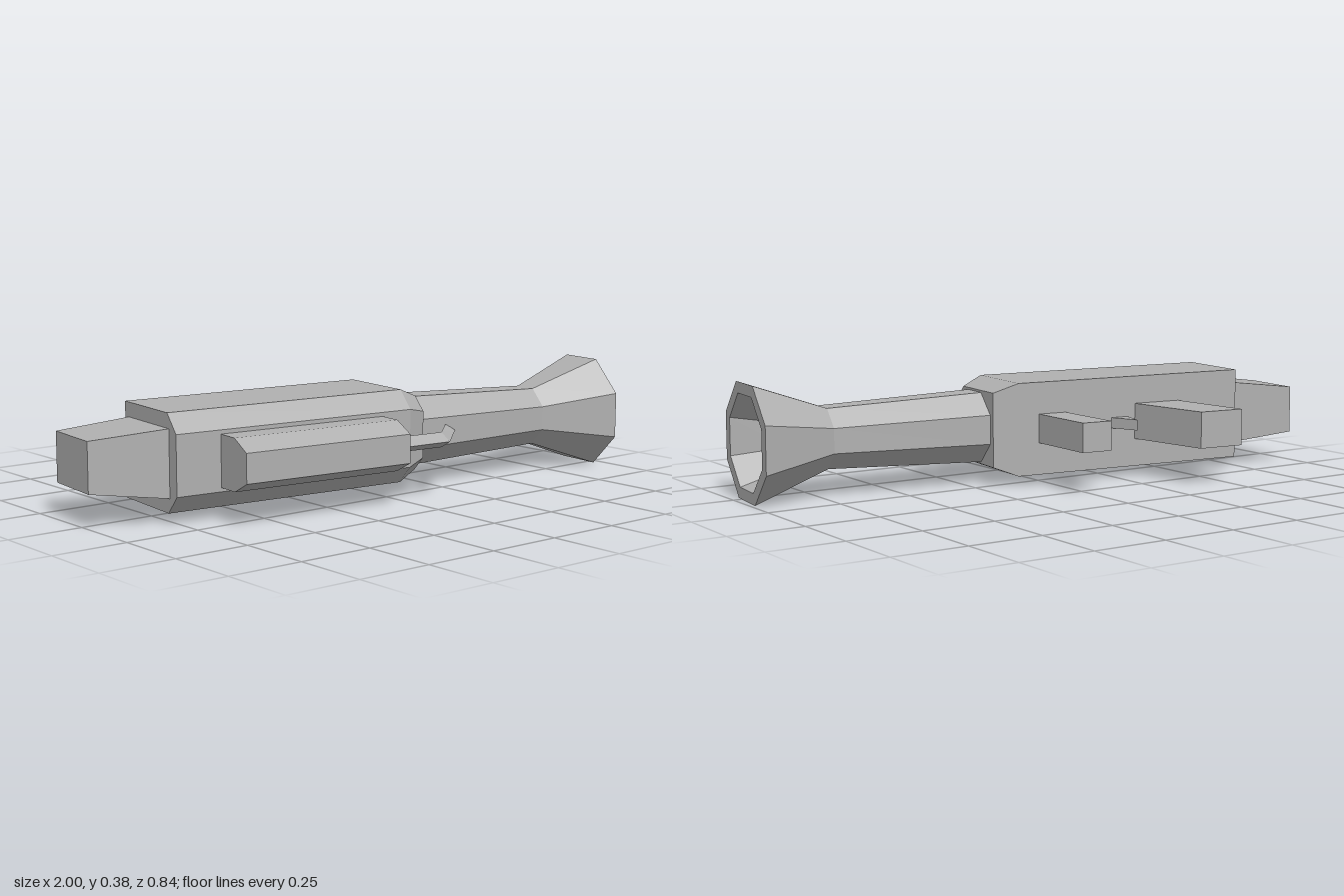
import * as THREE from 'three';

const CY = 0.188; // height of the long axis

export function createModel() {
  const model = new THREE.Group();
  const gun = new THREE.Group();
  gun.name = 'blaster';
  gun.rotation.y = -0.106; // the long axis is slightly turned
  model.add(gun);

  const grey = new THREE.MeshStandardMaterial({ color: 0xb0b0b0, flatShading: true });
  grey.name = 'plain grey';

  const add = (name, geometry) => {
    const mesh = new THREE.Mesh(geometry, grey);
    mesh.name = name;
    gun.add(mesh);
  };

  // Skin sections of [x, y, z] corners, counter-clockwise seen from +x, capped at both ends
  const loft = (sections) => {
    const pos = [];
    const tri = (a, b, c) => pos.push(...a, ...b, ...c);
    const n = sections[0].length;
    for (let s = 0; s < sections.length - 1; s++) {
      const p = sections[s], q = sections[s + 1];
      for (let i = 0; i < n; i++) {
        const j = (i + 1) % n;
        tri(p[i], p[j], q[j]);
        tri(p[i], q[j], q[i]);
      }
    }
    const first = sections[0], last = sections[sections.length - 1];
    for (let i = 1; i < n - 1; i++) {
      tri(first[0], first[i + 1], first[i]);
      tri(last[0], last[i], last[i + 1]);
    }
    const g = new THREE.BufferGeometry();
    g.setAttribute('position', new THREE.Float32BufferAttribute(pos, 3));
    g.computeVertexNormals();
    return g;
  };

  // Six-cornered section: flat at z0, bevelled from zr out to z1
  const bevelled = (x, z0, zr, z1, h, k) => [
    [x, CY - h, z0], [x, CY + h, z0], [x, CY + h, zr],
    [x, CY + k, z1], [x, CY - k, z1], [x, CY - h, zr],
  ];

  // Four-cornered section
  const rect = (x, z0, z1, h) => [
    [x, CY - h, z0], [x, CY + h, z0], [x, CY + h, z1], [x, CY - h, z1],
  ];

  // Octagon with flat sides up and down
  const octagon = (x, zc, apothem) => Array.from({ length: 8 }, (_, i) => {
    const t = (i + 0.5) * Math.PI / 4, r = apothem / Math.cos(Math.PI / 8);
    return [x, CY + r * Math.sin(t), zc - r * Math.cos(t)];
  });

  // Prism with an (x, z) outline, centred on the axis height
  const prism = (points, width) => {
    const shape = new THREE.Shape(points.map(([x, z]) => new THREE.Vector2(x, z)));
    const g = new THREE.ExtrudeGeometry(shape, { depth: width, bevelEnabled: false });
    g.rotateX(Math.PI / 2);
    g.translate(0, CY + width / 2, 0);
    return g;
  };

  // Main body with a tapered front
  add('body', loft([
    bevelled(-0.754, -0.07, 0.21, 0.265, 0.155, 0.096),
    bevelled(0.11, -0.07, 0.208, 0.264, 0.155, 0.096),
    bevelled(0.189, -0.04, 0.182, 0.228, 0.124, 0.078),
  ]));

  // Tapered rear block
  add('stock', loft([
    rect(-0.989, -0.076, 0.146, 0.081),
    rect(-0.75, -0.046, 0.221, 0.108),
  ]));

  // Barrel and hollow flared muzzle
  add('barrel', loft([
    octagon(0.185, 0.098, 0.117),
    octagon(0.734, 0.094, 0.098),
    octagon(0.992, 0.096, 0.188),
    octagon(0.992, 0.096, 0.151),
    octagon(0.82, 0.096, 0.093),
  ]));

  // Side pod and the bent rod in front of it
  add('sidePod', loft([-0.6, 0].map((x) => bevelled(x, 0.255, 0.346, 0.417, 0.083, 0.047))));
  const rod = (xi, zi, xo, zo, h) => [[xi, CY - h, zi], [xi, CY + h, zi], [xo, CY, zo]];
  add('sideRod', loft([
    rod(-0.01, 0.338, -0.01, 0.387, 0.025),
    rod(0.182, 0.338, 0.182, 0.384, 0.025),
    rod(0.299, 0.205, 0.331, 0.216, 0.022),
  ]));

  // Handles and trigger on the back side
  add('rearGrip', prism([[-0.512, -0.06], [-0.577, -0.362], [-0.416, -0.362], [-0.336, -0.06]], 0.122));
  add('frontGrip', prism([[-0.067, -0.06], [-0.095, -0.322], [0.011, -0.322], [0.034, -0.06]], 0.097));
  add('trigger', prism([[-0.311, -0.06], [-0.294, -0.16], [-0.24, -0.06]], 0.036));

  return model;
}
